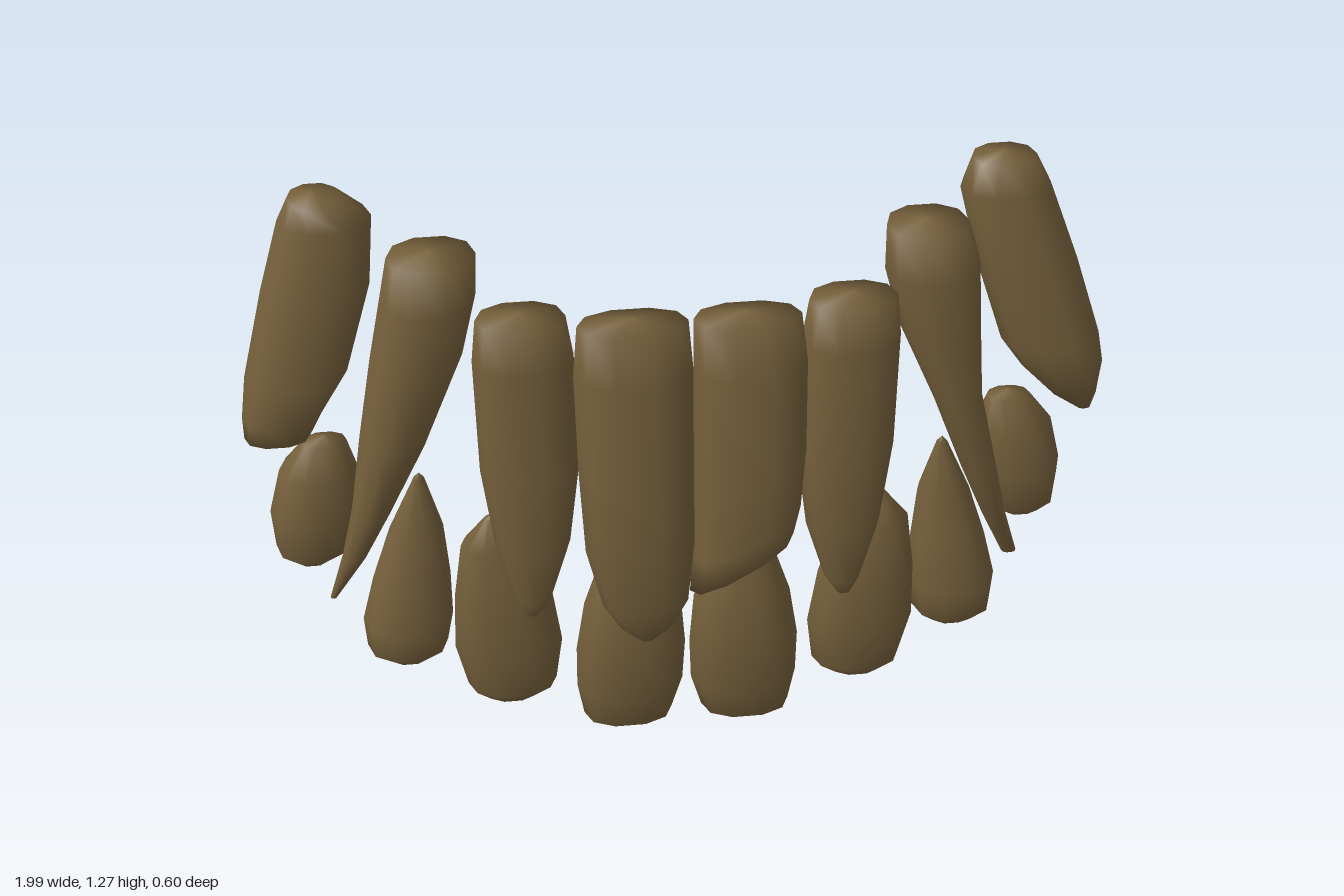
import * as THREE from 'three';

const SIDES = 10;

// Loft of rounded rings, listed from top to bottom: [y, xMin, xMax, zMin, zMax, slant]
function loft(rows) {
  const mid = ([y, x0, x1, z0, z1]) => [y, (x0 + x1) / 2, (x0 + x1) / 2, (z0 + z1) / 2, (z0 + z1) / 2, 0];
  const rings = [mid(rows[0]), ...rows, mid(rows[rows.length - 1])];
  rings[0][0] += 0.015;
  rings[rings.length - 1][0] -= 0.003;
  const pos = [], index = [];
  rings.forEach(([y, x0, x1, z0, z1, slant = 0], i) => {
    for (let j = 0; j < SIDES; j++) {
      const a = (j / SIDES) * Math.PI * 2;
      const c = Math.sign(Math.cos(a)) * Math.abs(Math.cos(a)) ** 0.9;
      const s = Math.sign(Math.sin(a)) * Math.abs(Math.sin(a)) ** 0.9;
      pos.push((x0 + x1) / 2 + c * (x1 - x0) / 2, y + slant * c, (z0 + z1) / 2 + s * (z1 - z0) / 2);
      if (i < rings.length - 1) {
        const k = (j + 1) % SIDES, A = i * SIDES, B = A + SIDES;
        index.push(A + j, A + k, B + j, A + k, B + k, B + j);
      }
    }
  });
  const g = new THREE.BufferGeometry();
  g.setAttribute('position', new THREE.Float32BufferAttribute(pos, 3));
  g.setIndex(index);
  g.computeVertexNormals();
  return g;
}

// Mirror ring rows to the other side of the arch
const mirror = (rows, shift) => rows.map(([y, x0, x1, z0, z1]) => [y, -x1 + shift, -x0 + shift, z0, z1]);

export function createModel() {
  const model = new THREE.Group();
  const enamel = new THREE.MeshStandardMaterial({ color: 0x76603c, roughness: 0.7 });
  const upper = new THREE.Group(), lower = new THREE.Group();
  upper.name = 'upperTeeth';
  lower.name = 'lowerTeeth';
  model.add(upper, lower);
  const add = (group, name, rows) => {
    const mesh = new THREE.Mesh(loft(rows), enamel);
    mesh.name = name;
    group.add(mesh);
  };

  // Upper back teeth, leaning outwards; the right one ends bluntly
  add(upper, 'upperLeftBackTooth', [
    [1.27, 0.655, 0.8, -0.28, -0.16], [1.2, 0.63, 0.835, -0.29, -0.14],
    [1.0, 0.68, 0.91, -0.29, -0.12], [0.8, 0.745, 0.975, -0.28, -0.115],
    [0.72, 0.8, 0.99, -0.265, -0.125], [0.65, 0.865, 0.985, -0.245, -0.15],
    [0.595, 0.94, 0.97, -0.2, -0.18],
  ]);
  add(upper, 'upperRightBackTooth', [
    [1.27, -0.855, -0.74, -0.28, -0.16], [1.22, -0.88, -0.675, -0.29, -0.14],
    [1.05, -0.93, -0.69, -0.29, -0.125], [0.83, -0.985, -0.755, -0.28, -0.115],
    [0.72, -1.0, -0.82, -0.265, -0.13], [0.66, -1.0, -0.85, -0.25, -0.15],
  ]);

  // Upper fangs, tapering to thin outward tips
  add(upper, 'upperLeftFang', [
    [1.255, 0.42, 0.6, -0.06, 0.1], [1.15, 0.42, 0.63, -0.07, 0.115],
    [1.0, 0.46, 0.64, -0.065, 0.11], [0.8, 0.545, 0.655, -0.055, 0.1],
    [0.6, 0.62, 0.7, -0.04, 0.08], [0.45, 0.68, 0.735, -0.045, 0.035],
    [0.3, 0.745, 0.78, -0.055, -0.03],
  ]);
  add(upper, 'upperRightFang', [
    [1.25, -0.65, -0.46, -0.06, 0.1], [1.15, -0.67, -0.465, -0.07, 0.115],
    [1.0, -0.7, -0.5, -0.065, 0.11], [0.8, -0.735, -0.58, -0.055, 0.1],
    [0.6, -0.765, -0.675, -0.045, 0.07], [0.45, -0.795, -0.74, -0.055, 0.02],
    [0.28, -0.835, -0.82, -0.085, -0.07],
  ]);

  // Upper side incisors, one mirrored pair
  const sideIncisor = [
    [1.18, 0.23, 0.42, 0.11, 0.24], [1.08, 0.215, 0.43, 0.095, 0.255],
    [0.8, 0.21, 0.425, 0.105, 0.255], [0.6, 0.235, 0.4, 0.125, 0.25],
    [0.45, 0.28, 0.36, 0.155, 0.225], [0.4, 0.31, 0.34, 0.175, 0.2],
  ];
  add(upper, 'upperLeftSideIncisor', sideIncisor);
  add(upper, 'upperRightSideIncisor', mirror(sideIncisor, -0.055));

  // Upper front incisors; the left one is broken off at a slant
  add(upper, 'upperRightFrontIncisor', [
    [1.17, -0.265, -0.03, 0.15, 0.265], [1.05, -0.275, -0.02, 0.135, 0.285],
    [0.8, -0.27, -0.02, 0.14, 0.305], [0.6, -0.26, -0.02, 0.165, 0.305],
    [0.45, -0.225, -0.035, 0.2, 0.285], [0.38, -0.185, -0.07, 0.215, 0.265],
    [0.34, -0.14, -0.115, 0.23, 0.245],
  ]);
  add(upper, 'upperLeftBrokenIncisor', [
    [1.17, -0.02, 0.21, 0.15, 0.265], [1.05, -0.02, 0.225, 0.135, 0.285],
    [0.8, -0.02, 0.225, 0.14, 0.305, 0.03], [0.62, -0.025, 0.215, 0.16, 0.3, 0.06],
    [0.54, -0.03, 0.2, 0.18, 0.29, 0.07],
  ]);

  // Lower teeth: each left tooth is mirrored to the right
  const lowers = {
    FrontIncisor: [
      [0.56, 0.08, 0.12, 0.12, 0.16], [0.52, 0.035, 0.165, 0.09, 0.19],
      [0.38, -0.01, 0.21, 0.065, 0.215], [0.25, -0.02, 0.23, 0.06, 0.22],
      [0.13, -0.015, 0.23, 0.05, 0.205], [0.04, 0.01, 0.215, 0.06, 0.185],
      [0.013, 0.07, 0.17, 0.09, 0.15],
    ],
    SideIncisor: [
      [0.62, 0.39, 0.425, 0.1, 0.13], [0.55, 0.34, 0.48, 0.065, 0.165],
      [0.4, 0.28, 0.5, 0.035, 0.18], [0.25, 0.26, 0.505, 0.025, 0.175],
      [0.13, 0.275, 0.48, 0.025, 0.155], [0.095, 0.32, 0.44, 0.045, 0.13],
    ],
    Canine: [
      [0.7, 0.55, 0.575, 0.045, 0.065], [0.56, 0.515, 0.635, -0.005, 0.09],
      [0.42, 0.505, 0.68, -0.035, 0.11], [0.3, 0.505, 0.71, -0.05, 0.12],
      [0.22, 0.52, 0.705, -0.045, 0.11], [0.183, 0.56, 0.66, -0.02, 0.075],
    ],
    BackTooth: [
      [0.65, 0.72, 0.82, -0.22, -0.15], [0.565, 0.7, 0.88, -0.275, -0.125],
      [0.445, 0.705, 0.91, -0.3, -0.115], [0.335, 0.735, 0.905, -0.305, -0.135],
      [0.297, 0.775, 0.87, -0.285, -0.175],
    ],
  };
  for (const [name, rows] of Object.entries(lowers)) {
    add(lower, 'lowerLeft' + name, rows);
    add(lower, 'lowerRight' + name, mirror(rows, -0.05));
  }
  return model;
}
